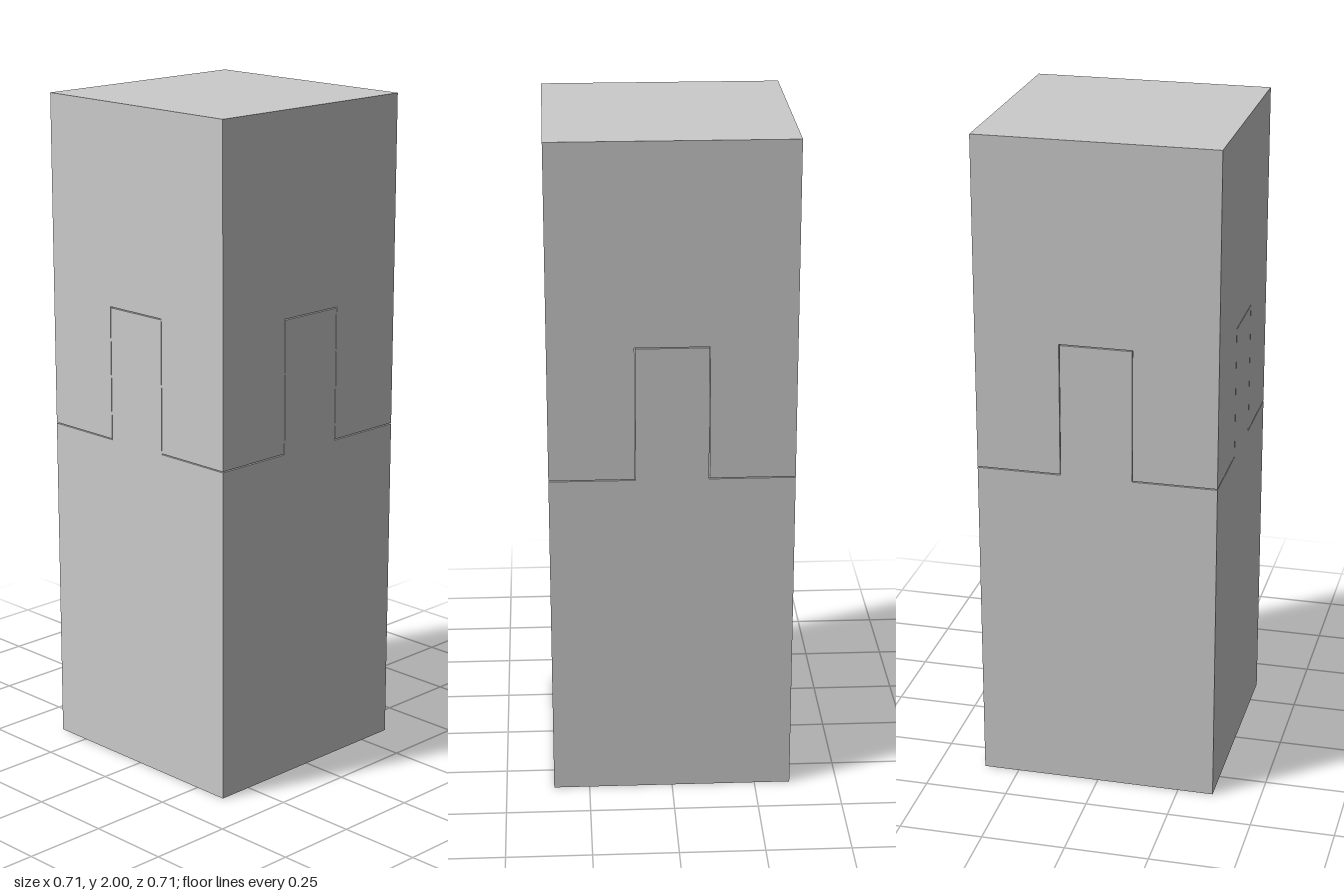
import * as THREE from 'three';
import { mergeGeometries } from 'three/addons/utils/BufferGeometryUtils.js';

const H = 0.357; // half width of the post
const material = new THREE.MeshStandardMaterial({ color: 0xcccccc, flatShading: true });

const flat = (points) => new THREE.ShapeGeometry(new THREE.Shape(points.map(([x, y]) => new THREE.Vector2(x, y))));

// Reverse the winding so that a surface faces the other way
function flip(geometry) {
  const index = geometry.index;
  for (let i = 0; i < index.count; i += 3) {
    const a = index.getX(i);
    index.setX(i, index.getX(i + 1));
    index.setX(i + 1, a);
  }
  return geometry;
}

// One closed half of the post: end = outer end height, seam = shoulder height,
// tip = height of the cross tenon or socket, t = half width of its arms
function half(name, end, seam, tip, t, isSocket) {
  const outer = [];
  const joint = [];

  // Outer end
  const cap = new THREE.PlaneGeometry(2 * H, 2 * H).rotateX(isSocket ? -Math.PI / 2 : Math.PI / 2);
  outer.push(cap.translate(0, end, 0));

  // Flat face of the cross
  joint.push(flat([
    [-t, -H], [t, -H], [t, -t], [H, -t], [H, t], [t, t],
    [t, H], [-t, H], [-t, t], [-H, t], [-H, -t], [-t, -t],
  ]).rotateX(-Math.PI / 2).translate(0, tip, 0));

  for (let i = 0; i < 4; i++) {
    const turn = (i * Math.PI) / 2;

    // Outer side with the stepped joint line
    outer.push(flat([
      [-H, end], [H, end], [H, seam], [t, seam], [t, tip], [-t, tip], [-t, seam], [-H, seam],
    ]).translate(0, 0, H).rotateY(turn));

    // Corner shoulder
    const c = (H + t) / 2;
    joint.push(new THREE.PlaneGeometry(H - t, H - t).rotateX(-Math.PI / 2).translate(c, seam, c).rotateY(turn));

    // Both flanks of a cross arm
    for (const s of [-1, 1]) {
      joint.push(new THREE.PlaneGeometry(H - t, tip - seam)
        .rotateY((s * Math.PI) / 2).translate(s * t, (seam + tip) / 2, c).rotateY(turn));
    }
  }

  if (isSocket) joint.forEach(flip);
  const geometry = mergeGeometries([...outer, ...joint]).toNonIndexed();
  geometry.computeVertexNormals();
  const mesh = new THREE.Mesh(geometry, material);
  mesh.name = name;
  return mesh;
}

export function createModel() {
  const group = new THREE.Group();
  group.name = 'jointedPost';
  // The socket is a hair larger than the tenon, leaving a fine seam
  group.add(half('lowerPostWithTenon', 0, 1, 1.4, 0.106, false));
  group.add(half('upperPostWithSocket', 2, 1.003, 1.403, 0.108, true));
  return group;
}
